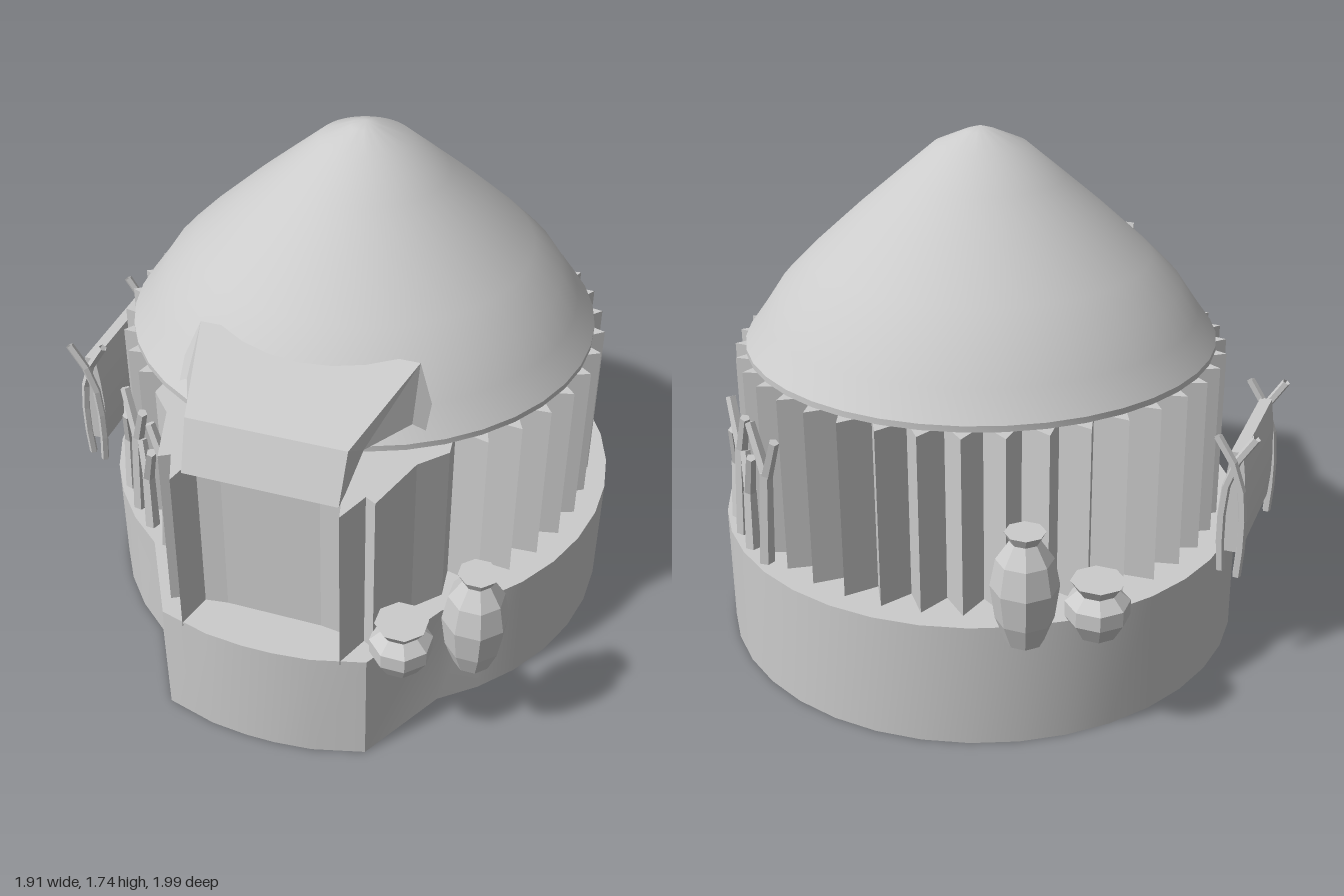
import * as THREE from 'three';
import { toCreasedNormals } from 'three/addons/utils/BufferGeometryUtils.js';

const smooth = new THREE.MeshStandardMaterial({ color: 0xcccccc, side: THREE.DoubleSide });
const flat = new THREE.MeshStandardMaterial({ color: 0xcccccc, side: THREE.DoubleSide, flatShading: true });

function add(parent, name, geometry, material = flat) {
  const mesh = new THREE.Mesh(geometry, material);
  mesh.name = name;
  parent.add(mesh);
  return mesh;
}

const polar = (r, a) => [r * Math.sin(a), r * Math.cos(a)];

// Vertical sheet following a closed plan outline of [x, z] points
function strip(plan, y0, y1) {
  const pos = [], index = [], n = plan.length;
  plan.forEach(([x, z], i) => {
    pos.push(x, y0, z, x, y1, z);
    const a = i * 2, b = ((i + 1) % n) * 2;
    index.push(a, b, b + 1, a, b + 1, a + 1);
  });
  const g = new THREE.BufferGeometry();
  g.setAttribute('position', new THREE.Float32BufferAttribute(pos, 3));
  g.setIndex(index);
  return toCreasedNormals(g, 0.4);
}

// Horizontal face filling a plan outline
function cap(plan, y) {
  const shape = new THREE.Shape(plan.map(([x, z]) => new THREE.Vector2(x, -z)));
  return new THREE.ShapeGeometry(shape).rotateX(-Math.PI / 2).translate(0, y, 0);
}

// Mirrored run of plan points, walked from -x to +x
const mirrored = (half) => [...half, ...half.slice().reverse().map(([x, z]) => [-x, z])];

// Straight stick between two points
function stick(parent, name, a, b, r0, r1) {
  const p = new THREE.Vector3(...a), q = new THREE.Vector3(...b);
  const d = q.clone().sub(p);
  const m = add(parent, name, new THREE.CylinderGeometry(r1, r0, d.length(), 5));
  m.position.copy(p).addScaledVector(d, 0.5);
  m.quaternion.setFromUnitVectors(new THREE.Vector3(0, 1, 0), d.normalize());
}

function canopy() {
  // Right half corners; the left half is mirrored
  const half = [
    [0.36, 1.25, 0.57], [0.255, 1.17, 0.95], [0.248, 1.01, 1.015], // top back, top front, front foot
    [0.25, 1.02, 0.95], [0.28, 1.13, 0.88], [0.37, 1.10, 0.68], [0.45, 1.03, 0.63], // lower edge of the side
    [0.26, 1.2, 0.57], [0.23, 1.12, 0.93], // lining
  ];
  const n = half.length;
  const pos = [...half, ...half.map(([x, y, z]) => [-x, y, z])].flat();
  const side = [[0, 6, 5], [0, 5, 4], [0, 4, 1], [1, 4, 3], [1, 3, 2], [7, 5, 6], [7, 8, 5], [8, 4, 5], [8, 3, 4]];
  const index = [];
  for (const [a, b, c] of side) index.push(a, c, b, a + n, b + n, c + n);
  // Panels spanning both halves: top, front and lining
  for (const [a, b] of [[0, 1], [1, 2], [2, 3], [3, 8], [8, 7]]) {
    index.push(a, a + n, b + n, a, b + n, b);
  }
  const g = new THREE.BufferGeometry();
  g.setAttribute('position', new THREE.Float32BufferAttribute(pos, 3));
  g.setIndex(index);
  return g.toNonIndexed();
}

export function createModel() {
  const model = new THREE.Group();
  model.name = 'hut';
  const house = new THREE.Group();
  house.name = 'house';
  house.position.set(0.055, 0, -0.1);
  model.add(house);

  // Hollow round platform with a front porch
  const base = [];
  for (let i = 0; i <= 30; i++) base.push(polar(0.9, 0.6 + (i / 30) * (2 * Math.PI - 1.2)));
  base.push(...mirrored([[-0.345, 1.035], [-0.175, 1.08], [-0.05, 1.092]]));
  add(house, 'platformSide', strip(base, 0, 0.42), smooth);
  add(house, 'platformTop', cap(base, 0.42));

  // Pleated wall that folds out to the doorway
  const wall = [];
  for (let k = 4; k <= 36; k++) {
    wall.push(polar(0.832, k * Math.PI / 20));
    if (k < 36) wall.push(polar(0.735, (k + 0.5) * Math.PI / 20));
  }
  wall.push(...mirrored([[-0.41, 0.76], [-0.345, 0.97], [-0.31, 0.95], [-0.265, 1.06], [-0.235, 0.94], [-0.16, 0.93]]));
  add(house, 'pleatedWall', strip(wall, 0.405, 1.015), flat);
  add(house, 'wallTop', cap(wall, 1.015));

  // Domed conical roof
  const profile = [[0, 1.02], [0.795, 1.02], [0.795, 1.04], [0.73, 1.13], [0.67, 1.22], [0.57, 1.32],
    [0.41, 1.465], [0.28, 1.575], [0.155, 1.68], [0.05, 1.725], [0, 1.74]].map((p) => new THREE.Vector2(...p));
  add(house, 'roof', toCreasedNormals(new THREE.LatheGeometry(profile, 40), 0.6), smooth);
  add(house, 'doorCanopy', canopy());

  // Pots beside the door and at the back
  const tall = [[0, 0.38], [0.06, 0.38], [0.09, 0.46], [0.105, 0.57], [0.088, 0.66], [0.047, 0.72], [0.063, 0.75], [0, 0.75]];
  const squat = [[0, 0.38], [0.065, 0.38], [0.1, 0.44], [0.1, 0.49], [0.062, 0.525], [0.085, 0.56], [0, 0.56]];
  for (const [name, pts, x, z] of [['tallPot', tall, 0.7, 0.78], ['squatPot', squat, 0.49, 0.865],
    ['tallPot', tall, -0.4, -0.885], ['squatPot', squat, -0.59, -0.765]]) {
    const g = new THREE.LatheGeometry(pts.map((p) => new THREE.Vector2(...p)), 8, Math.PI / 8);
    add(model, name, g).position.set(x, 0, z);
  }

  // Forked branches leaning on the wall, in two opposite bundles
  const branches = [[0.97, 0.77, 1], [0.83, 0.9, -1], [0.7, 0.77, 1], [0.57, 0.9, -1]];
  for (const turn of [0, Math.PI]) {
    for (const [a, top, s] of branches) {
      const b = new THREE.Group();
      b.name = 'branch';
      b.rotation.y = turn - a;
      house.add(b);
      const fork = top - 0.15;
      stick(b, 'trunk', [0, 0.41, 0.86], [-0.02 * s, fork, 0.85], 0.026, 0.022);
      stick(b, 'fork', [-0.02 * s, fork - 0.01, 0.85], [0.05 * s, top, 0.86], 0.02, 0.017);
      stick(b, 'fork', [-0.02 * s, fork - 0.02, 0.85], [-0.07 * s, top - 0.03, 0.84], 0.02, 0.017);
    }
  }

  // Hide stretched between two forked stands
  const rack = new THREE.Group();
  rack.name = 'hideRack';
  rack.position.x = -0.88;
  model.add(rack);
  for (const z of [-0.265, 0.215]) {
    for (const s of [-1, 1]) {
      const curve = new THREE.CatmullRomCurve3([[0.03, 0.37], [0.038, 0.55], [0.015, 0.73], [-0.06, 0.86]]
        .map(([x, y]) => new THREE.Vector3(x * s, y, z + 0.012 * s)));
      add(rack, 'rackPole', new THREE.TubeGeometry(curve, 5, 0.015, 5));
    }
  }
  const hide = new THREE.Shape();
  hide.moveTo(-0.02, 0.8);
  hide.quadraticCurveTo(-0.05, 0.6, -0.03, 0.44);
  hide.lineTo(0.03, 0.44);
  hide.quadraticCurveTo(0.05, 0.6, 0.02, 0.8);
  add(rack, 'hide', new THREE.ExtrudeGeometry(hide, { depth: 0.45, bevelEnabled: false, curveSegments: 4 }))
    .position.z = -0.25;

  return model;
}
